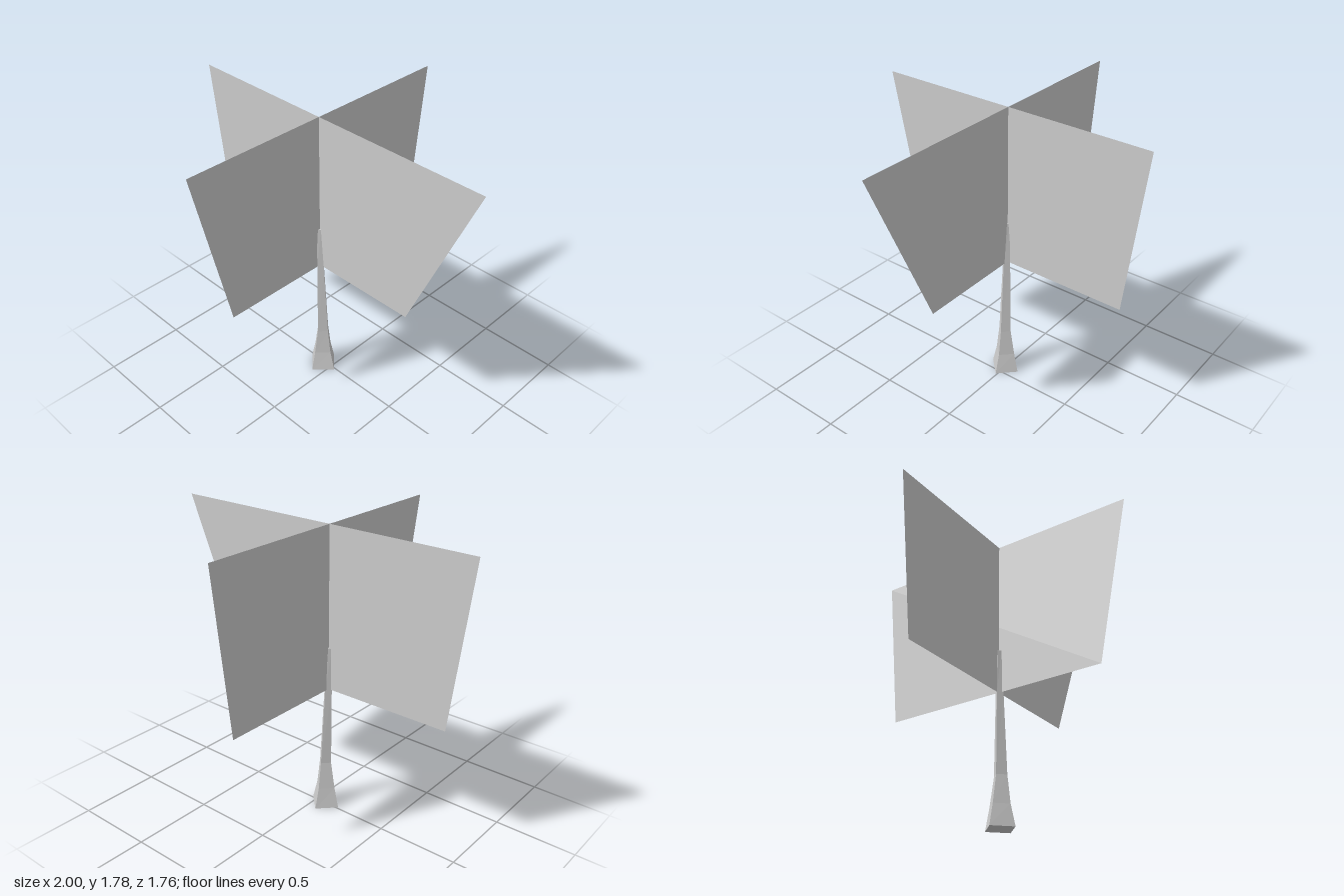
import * as THREE from 'three';

const lightGrey = new THREE.MeshStandardMaterial({ color: 0xcccccc, side: THREE.DoubleSide });
lightGrey.name = 'lightGrey';

// Flat four-cornered sheet, corners given counter-clockwise
function makeSheet(name, corners) {
  const geometry = new THREE.BufferGeometry();
  geometry.setAttribute('position', new THREE.Float32BufferAttribute(corners.flat(), 3));
  geometry.setIndex([0, 1, 2, 0, 2, 3]);
  geometry.computeVertexNormals();
  const mesh = new THREE.Mesh(geometry, lightGrey);
  mesh.name = name;
  return mesh;
}

// Four-sided tapering trunk with a flared foot
function makeTrunk() {
  // [height, centre x, centre z, half width in x, half width in z]
  const rings = [
    [0, -0.065, 0.01, 0.1, 0.1],
    [0.13, -0.067, 0.01, 0.068, 0.07],
    [0.3, -0.063, 0.011, 0.043, 0.045],
    [0.8, -0.078, 0.013, 0.027, 0.027],
    [1.06, -0.087, 0.015, 0.017, 0.015],
  ];
  const steps = rings.length - 1;
  const geometry = new THREE.CylinderGeometry(1, 1, 1, 4, steps).toNonIndexed();
  const p = geometry.attributes.position;
  for (let i = 0; i < p.count; i++) {
    const [y, cx, cz, rx, rz] = rings[Math.round((p.getY(i) + 0.5) * steps)];
    p.setXYZ(i, cx + p.getX(i) * rx, y, cz + p.getZ(i) * rz);
  }
  geometry.computeVertexNormals();
  const mesh = new THREE.Mesh(geometry, lightGrey);
  mesh.name = 'trunk';
  return mesh;
}

export function createModel() {
  const group = new THREE.Group();
  group.name = 'crossedSheetTree';
  const top = 1.785, bottom = 0.795;

  group.add(makeTrunk());

  // Two crossing foliage sheets
  group.add(makeSheet('wideFoliageSheet', [
    [-0.88, bottom, 0.01], [0.585, bottom, 0.01], [1, top, 0.01], [-1, top, 0.01],
  ]));
  group.add(makeSheet('deepFoliageSheet', [
    [-0.089, bottom, 0.68], [-0.076, bottom, -0.775], [-0.075, top, -0.88], [-0.09, top, 0.88],
  ]));
  return group;
}
